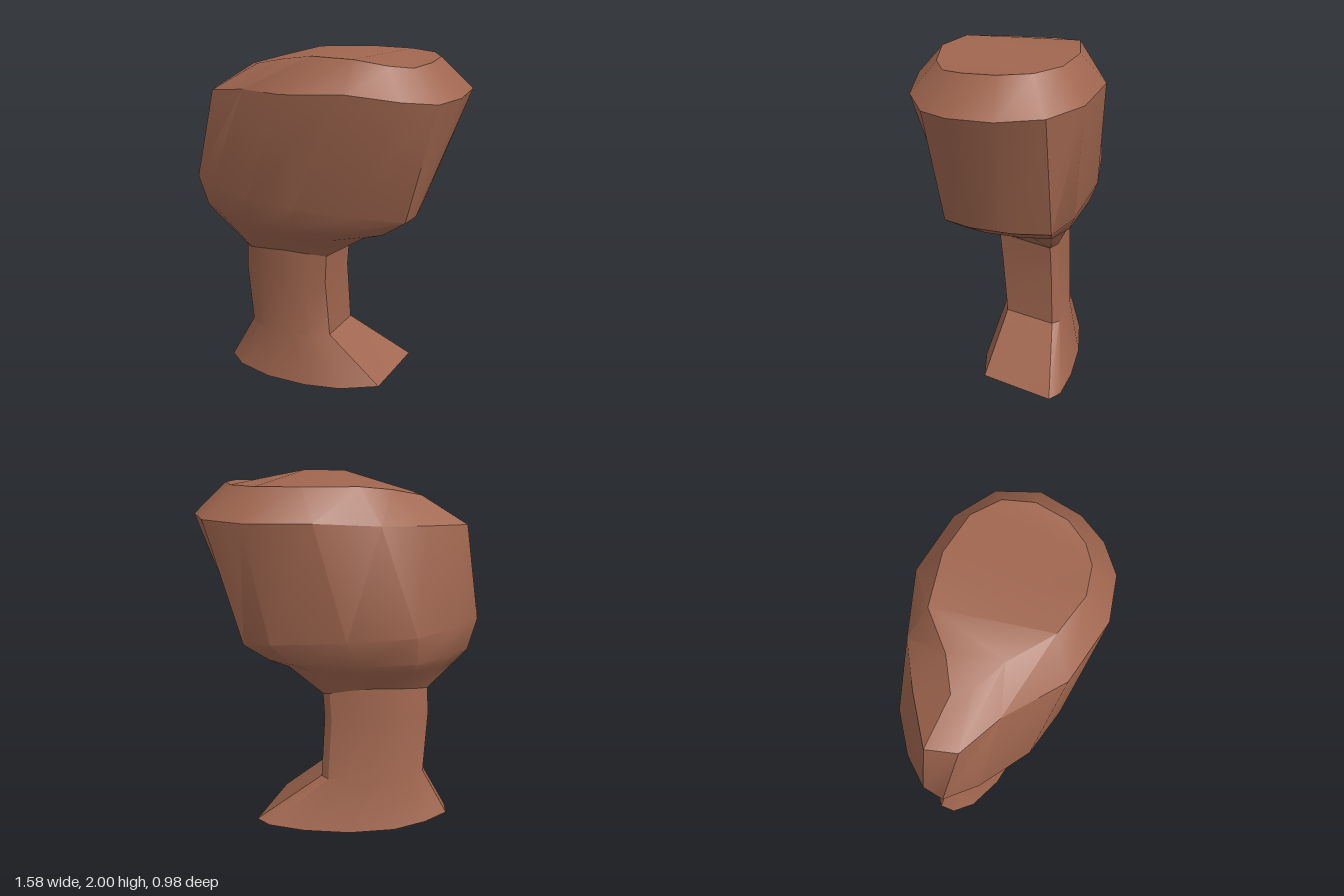
import * as THREE from 'three';
import { toCreasedNormals } from 'three/addons/utils/BufferGeometryUtils.js';

const N = 14;

// Skin neighbouring rings; a closed top is spanned from side to side
function loft(rings, capTop) {
  const pos = [];
  const quad = (a, b, c, d) => [a, b, c, a, c, d].forEach((p) => pos.push(...p));
  for (let r = 0; r < rings.length - 1; r++) {
    for (let i = 0; i < N; i++) {
      const j = (i + 1) % N;
      quad(rings[r][i], rings[r][j], rings[r + 1][j], rings[r + 1][i]);
    }
  }
  if (capTop) {
    const top = rings[rings.length - 1];
    for (let i = 1; i < N / 2; i++) quad(top[i], top[i + 1], top[N - i], top[(N + 1 - i) % N]);
  }
  const geo = new THREE.BufferGeometry();
  geo.setAttribute('position', new THREE.Float32BufferAttribute(pos, 3));
  return toCreasedNormals(geo, 0.55);
}

// Plan of the stem (x, z): narrow at -x, with a slanted flat end at +x
const stemPlan = [
  [-0.51, -0.11], [-0.51, -0.04], [-0.46, 0.04], [-0.35, 0.11], [-0.22, 0.145], [-0.1, 0.15], [0.02, 0.11],
  [0.055, -0.05], [0.09, -0.21], [0.05, -0.25], [-0.06, -0.27], [-0.2, -0.27], [-0.34, -0.24], [-0.44, -0.18],
];

// Stem ring centred on (cx, cz), scaled from the plan; heightAt gives y
function stemRing(cx, cz, sx, sz, heightAt) {
  return stemPlan.map(([px, pz]) => {
    const x = cx + (px + 0.21) * sx, z = cz + (pz + 0.06) * sz;
    return [x, heightAt(x, z), z];
  });
}

export function createModel() {
  const clay = new THREE.MeshStandardMaterial({ color: 0xa0664f, side: THREE.DoubleSide });
  clay.name = 'terracotta';
  const group = new THREE.Group();
  const add = (name, geo) => {
    const mesh = new THREE.Mesh(geo, clay);
    mesh.name = name;
    group.add(mesh);
  };

  // Hollow stem, from the open flared foot up to the neck
  const neck = stemRing(-0.21, -0.06, 1, 1, (x) => 0.87 - 0.6 * (x + 0.21) ** 2);
  add('stemAndFoot', loft([
    stemRing(-0.085, -0.1, 1.88, 1.33, (x) => 0.003 + 0.08 * (x + 0.2) ** 2),
    stemRing(-0.2, -0.095, 1, 0.93, (x, z) => 0.305 + 0.02 * x + 0.03 * z),
    stemRing(-0.22, -0.07, 1, 0.98, () => 0.67),
    neck,
  ], false));

  // Head rings: throat, belly, shoulder and top rim
  const belly = [
    [-0.77, -0.12], [-0.79, 0], [-0.65, 0.15], [-0.38, 0.33], [-0.1, 0.4], [0.2, 0.38], [0.49, 0.28],
    [0.53, 0.13], [0.54, -0.1], [0.515, -0.3], [0.36, -0.39], [-0.05, -0.45], [-0.42, -0.42], [-0.64, -0.27],
  ].map(([x, z]) => [x, 1.195 - 0.06 * x - 0.14 * Math.max(0, x - 0.3), z]);
  const underBelly = belly.map(([x, , z]) => {
    const px = -0.17 + (x + 0.125) * 0.86;
    return [px, 1.045 - 0.02 * px, -0.04 + (z + 0.025) * 0.84];
  });
  const throat = underBelly.map((p, i) => {
    const [x, y, z] = p.map((v, k) => v + (neck[i][k] - v) * 0.33);
    return [x, y + 0.1 * Math.max(0, x), z];
  });
  const shoulder = [
    [-0.69, 1.76, -0.1], [-0.65, 1.77, 0.06], [-0.43, 1.8, 0.18], [-0.15, 1.82, 0.41], [0.2, 1.845, 0.49],
    [0.47, 1.81, 0.44], [0.64, 1.785, 0.32], [0.74, 1.795, 0.16], [0.785, 1.81, -0.08], [0.7, 1.815, -0.3],
    [0.48, 1.82, -0.44], [0.12, 1.83, -0.49], [-0.22, 1.8, -0.39], [-0.45, 1.78, -0.26],
  ];
  const rim = [
    [-0.44, 1.91, -0.06], [-0.39, 1.92, 0.03], [-0.22, 1.96, 0.12], [-0.02, 2, 0.29], [0.21, 1.997, 0.35],
    [0.39, 1.965, 0.32], [0.5, 1.95, 0.25], [0.58, 1.965, 0.13], [0.61, 1.975, -0.05], [0.56, 1.98, -0.21],
    [0.42, 1.985, -0.32], [0.18, 1.99, -0.36], [-0.11, 1.985, -0.31], [-0.28, 1.95, -0.15],
  ];
  add('head', loft([neck, throat, underBelly, belly, shoulder, rim], true));
  return group;
}
